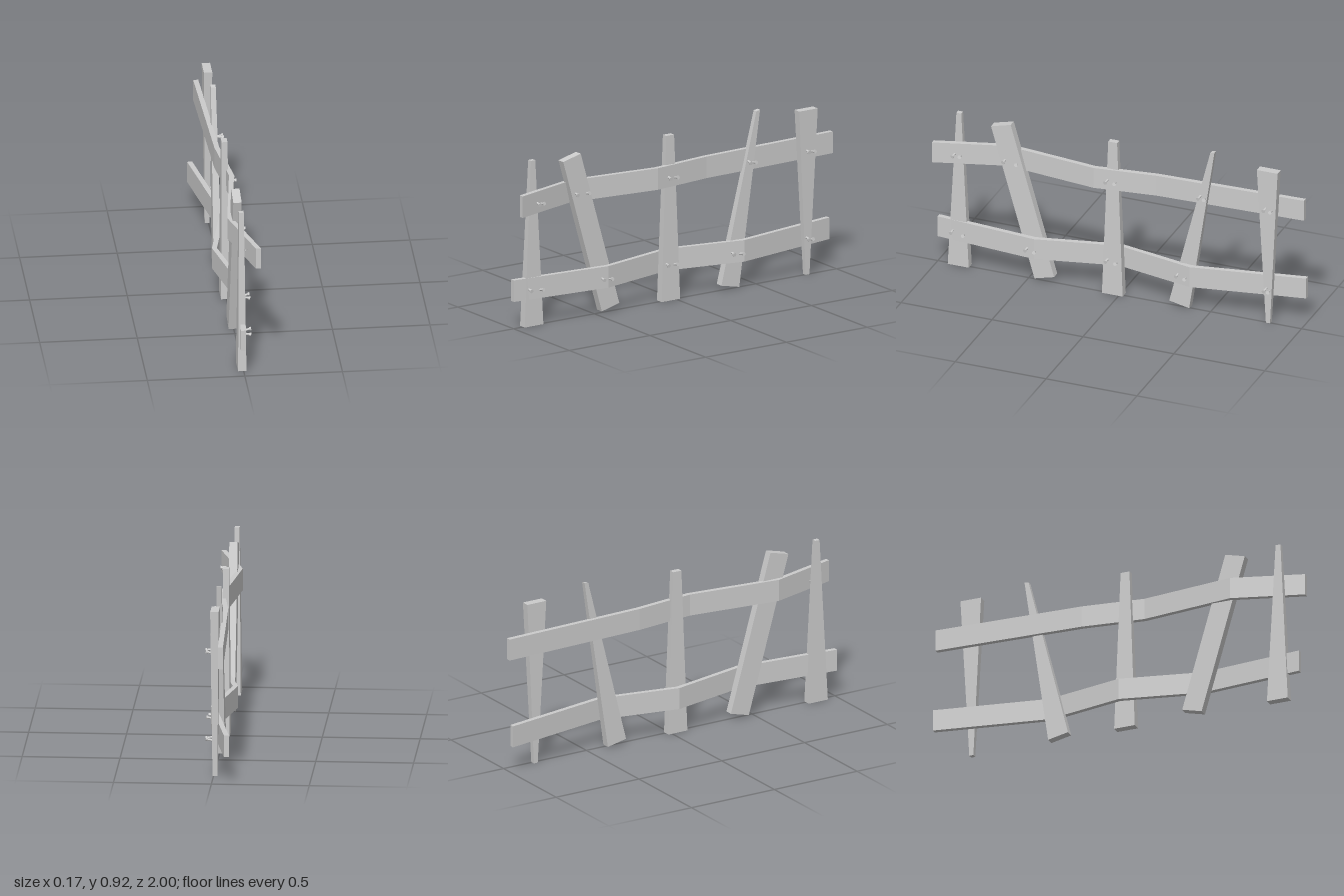
import * as THREE from 'three';

const material = new THREE.MeshStandardMaterial({ color: 0xcccccc, flatShading: true });
const RAIL_T = 0.026, PICKET_X = -0.007;

// Rail centre lines as [x, z], from the +z end to the -z end
const rails = [
  { name: 'upperRail', y: 0.605, nailY: 0.655, path: [[0.069, 1], [-0.039, 0.63], [0.021, 0.13], [-0.02, -0.2], [-0.046, -1]] },
  { name: 'lowerRail', y: 0.143, nailY: 0.193, path: [[-0.008, 1], [0.042, 0.45], [-0.055, 0.02], [0.03, -0.4], [-0.077, -1]] },
];

// Picket outlines as [z, y] corners (+z side first), thickness at foot and top, nail z per rail
const pickets = [
  { foot: [[0.94, 0], [0.825, 0]], top: [[0.896, 0.873], [0.869, 0.873]], t: [0.043, 0.025], nails: [[0.89, 0.855], [0.915, 0.845]] },
  { foot: [[0.463, 0.01], [0.355, 0.038]], top: [[0.702, 0.838], [0.594, 0.866]], t: [0.043, 0.043], nails: [[0.627, 0.555], [0.49, 0.44]] },
  { foot: [[0.092, 0], [-0.022, 0]], top: [[0.06, 0.873], [0.011, 0.873]], t: [0.043, 0.03], nails: [[0.06, 0.012], [0.064, 0.01]] },
  { foot: [[-0.278, 0.028], [-0.388, 0.005]], top: [[-0.5, 0.914], [-0.523, 0.919]], t: [0.043, 0.025], nails: [[-0.445, -0.477], [-0.33, -0.381]] },
  { foot: [[-0.806, 0], [-0.829, 0]], top: [[-0.76, 0.873], [-0.874, 0.873]], t: [0.025, 0.043], nails: [[-0.805, -0.842], [-0.806, -0.83]] },
];

// Rail centre x at a given z
function railX(path, z) {
  for (let i = 1; i < path.length; i++) {
    const [x0, z0] = path[i - 1], [x1, z1] = path[i];
    if (z >= z1) return x0 + (x1 - x0) * (z - z0) / (z1 - z0);
  }
  return path[path.length - 1][0];
}

// Zigzag board: plan outline extruded upward
function makeRail({ name, y, path }) {
  const side = (d) => path.map(([x, z]) => new THREE.Vector2(x + d, -z));
  const shape = new THREE.Shape([...side(-RAIL_T / 2), ...side(RAIL_T / 2).reverse()]);
  const geometry = new THREE.ExtrudeGeometry(shape, { depth: 0.114, bevelEnabled: false });
  geometry.rotateX(-Math.PI / 2).translate(0, y, 0);
  const mesh = new THREE.Mesh(geometry, material);
  mesh.name = name;
  return mesh;
}

// Tapered board: box corners moved to the outline
function makePicket({ foot, top, t }) {
  const geometry = new THREE.BoxGeometry(1, 1, 1);
  const p = geometry.attributes.position;
  for (let i = 0; i < p.count; i++) {
    const up = p.getY(i) > 0 ? 1 : 0;
    const [z, y] = (up ? top : foot)[p.getZ(i) > 0 ? 0 : 1];
    p.setXYZ(i, PICKET_X + p.getX(i) * t[up], y, z);
  }
  geometry.computeVertexNormals();
  const mesh = new THREE.Mesh(geometry, material);
  mesh.name = 'picket';
  return mesh;
}

// Nail along +x with its head at the origin, slightly tilted
function makeNail(x, y, z, tilt) {
  const nail = new THREE.Group();
  nail.name = 'nail';
  const shaft = new THREE.Mesh(new THREE.CylinderGeometry(0.006, 0.006, 0.05, 8), material);
  shaft.name = 'nailShaft';
  shaft.position.y = -0.03;
  const head = new THREE.Mesh(new THREE.CylinderGeometry(0.01, 0.008, 0.01, 8), material);
  head.name = 'nailHead';
  head.position.y = -0.005;
  nail.add(shaft, head);
  nail.position.set(x, y, z);
  nail.rotation.set(0, tilt * 0.6, -Math.PI / 2 + tilt);
  return nail;
}

export function createModel() {
  const fence = new THREE.Group();
  fence.name = 'fence';
  rails.forEach((rail) => fence.add(makeRail(rail)));
  pickets.forEach((picket) => {
    fence.add(makePicket(picket));
    // A pair of nails where the picket crosses each rail
    rails.forEach((rail, r) => picket.nails[r].forEach((z, i) => {
      const surface = Math.max(railX(rail.path, z) + RAIL_T / 2, 0.012);
      fence.add(makeNail(surface + 0.028, rail.nailY, z, i ? 0.2 : -0.15));
    }));
  });
  return fence;
}
